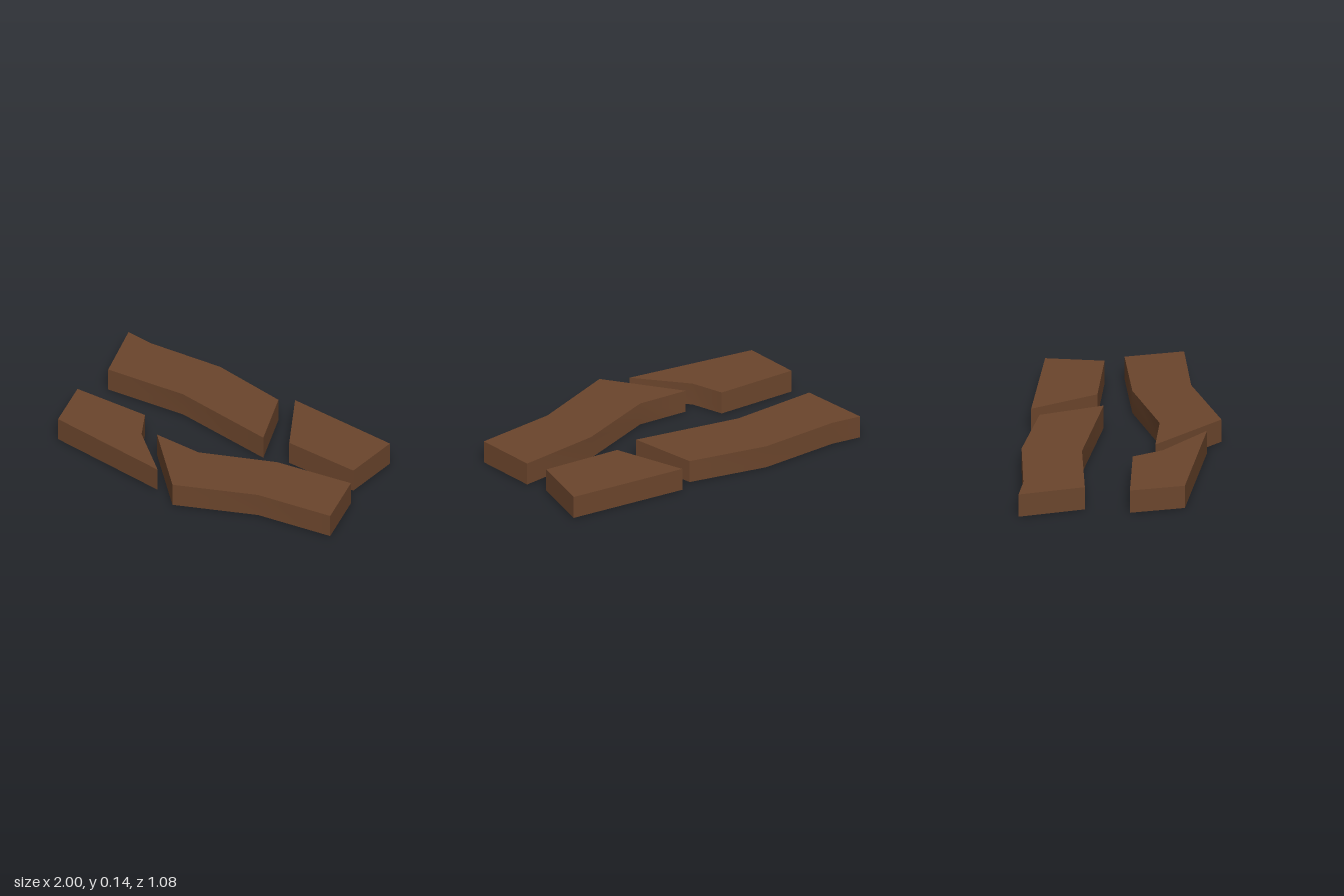
import * as THREE from 'three';
import { toCreasedNormals } from 'three/addons/utils/BufferGeometryUtils.js';

const TOP = 0.137;

// Outlines as [x, z], clockwise seen from above
const planks = {
  backLeftPlank: [[0.145, -0.54], [0.825, -0.53], [0.825, -0.195], [0.375, -0.19]],
  backRightPlank: [[-1, -0.495], [-0.83, -0.485], [-0.385, -0.54], [0.07, -0.485],
    [0.23, -0.14], [-0.385, -0.2], [-0.865, -0.135]],
  frontRightPlank: [[-0.885, 0.12], [-0.43, 0.09], [-0.33, 0.25], [-0.045, 0.47], [-0.79, 0.42]],
  frontLeftPlank: [[-0.26, 0.2], [0.03, 0.195], [0.44, 0], [0.89, -0.09],
    [0.995, 0.235], [0.55, 0.32], [0.11, 0.535]],
};

// Flat top board over one outline
function topGeometry(outline) {
  const shape = new THREE.Shape(outline.map(([x, z]) => new THREE.Vector2(x, -z)));
  return new THREE.ShapeGeometry(shape).rotateX(-Math.PI / 2).translate(0, TOP, 0);
}

// Thin wall around the outline, smooth over gentle bends and sharp at corners
function wallGeometry(outline) {
  const pos = [];
  outline.forEach(([x0, z0], i) => {
    const [x1, z1] = outline[(i + 1) % outline.length];
    pos.push(x0, 0, z0, x0, TOP, z0, x1, TOP, z1);
    pos.push(x0, 0, z0, x1, TOP, z1, x1, 0, z1);
  });
  const geo = new THREE.BufferGeometry();
  geo.setAttribute('position', new THREE.Float32BufferAttribute(pos, 3));
  geo.computeVertexNormals();
  return toCreasedNormals(geo, 0.6);
}

export function createModel() {
  const model = new THREE.Group();
  model.name = 'brokenPlanks';
  const wood = new THREE.MeshStandardMaterial({ color: 0x6b452c, side: THREE.DoubleSide });
  wood.name = 'brown wood';

  // Each plank is a hollow shell, open underneath
  for (const [name, outline] of Object.entries(planks)) {
    const plank = new THREE.Group();
    plank.name = name;
    const top = new THREE.Mesh(topGeometry(outline), wood);
    top.name = 'plankTop';
    const walls = new THREE.Mesh(wallGeometry(outline), wood);
    walls.name = 'plankSides';
    plank.add(top, walls);
    model.add(plank);
  }
  return model;
}
